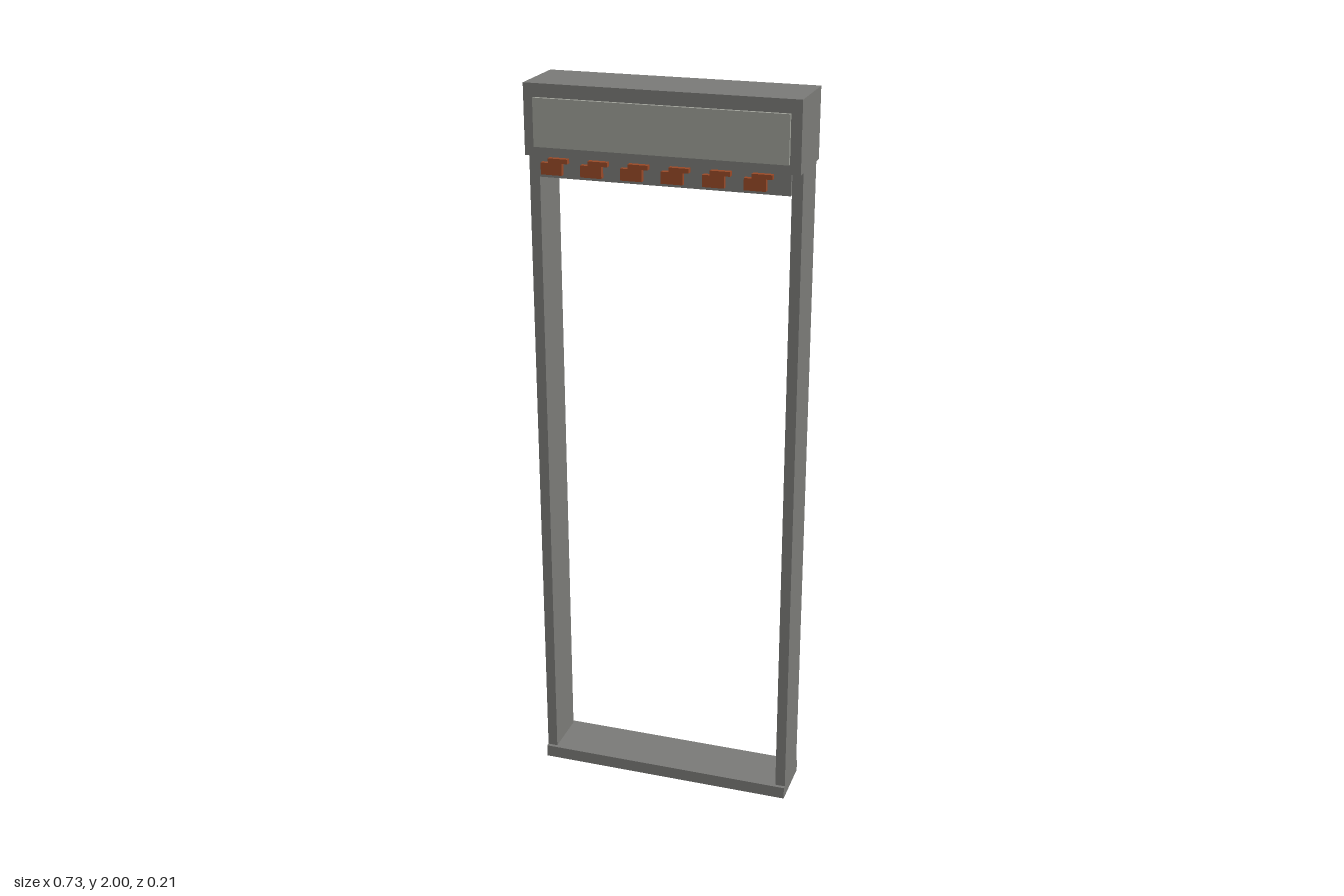
import * as THREE from 'three';

export function createModel() {
  const model = new THREE.Group();
  model.name = 'doorFrame';

  const metal = new THREE.MeshStandardMaterial({ color: 0x7b7b78 });
  const pale = new THREE.MeshStandardMaterial({ color: 0xa0a29a });
  const rust = new THREE.MeshStandardMaterial({ color: 0x9a4a28 });

  // Box given by its extents on each axis
  function box(name, material, [x0, x1], [y0, y1], [z0, z1], parent = model) {
    const mesh = new THREE.Mesh(new THREE.BoxGeometry(x1 - x0, y1 - y0, z1 - z0), material);
    mesh.position.set((x0 + x1) / 2, (y0 + y1) / 2, (z0 + z1) / 2);
    mesh.name = name;
    parent.add(mesh);
  }

  const W = 0.363; // outer half width
  const I = 0.335; // half width of the opening

  // Frame: sill, posts, lintel and header
  box('sill', metal, [-W, W], [0, 0.035], [-0.077, 0.077]);
  box('leftPost', metal, [I, W], [0.035, 1.815], [-0.067, 0.067]);
  box('rightPost', metal, [-W, -I], [0.035, 1.815], [-0.067, 0.067]);
  box('lintel', metal, [-I, I], [1.757, 1.815], [-0.077, 0.077]);
  box('header', metal, [-W, W], [1.815, 2], [-0.0945, 0.0945]);

  // Sign panels and stepped hooks, the same on both faces
  for (const side of [1, -1]) {
    const depth = (a, b) => (side > 0 ? [a, b] : [-b, -a]);
    const face = side > 0 ? 'front' : 'back';
    box(face + 'Panel', pale, [-I, I], [1.84, 1.965], depth(0.0945, 0.104));

    for (let i = 0; i < 6; i++) {
      const hook = new THREE.Group();
      hook.name = face + 'Hook';
      hook.position.x = -0.286 + i * 0.108;
      box('hookFoot', rust, [-0.036, 0.021], [1.767, 1.798], depth(0.077, 0.092), hook);
      box('hookTop', rust, [-0.016, 0.037], [1.798, 1.81], depth(0.077, 0.092), hook);
      model.add(hook);
    }
  }
  return model;
}
